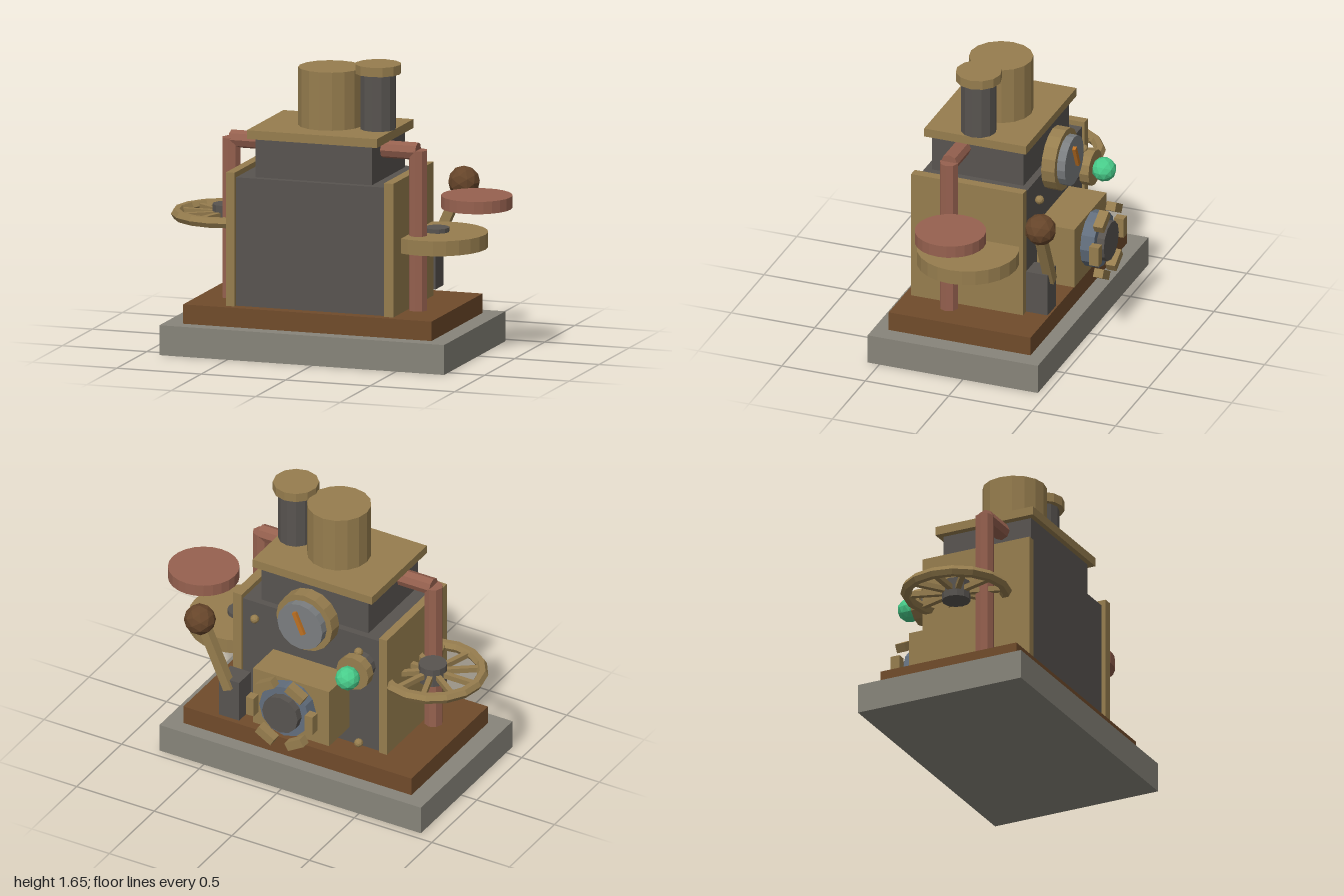
import * as THREE from 'three';

const mat = (name, color) => {
  const m = new THREE.MeshStandardMaterial({ color, flatShading: true });
  m.name = name;
  return m;
};

export function createModel() {
  const group = new THREE.Group();
  group.name = 'steamMachine';

  const stone = mat('stone grey', 0x87847a);
  const wood = mat('dark wood', 0x704b2b);
  const iron = mat('dark iron', 0x585450);
  const brass = mat('brass', 0x967d4e);
  const copper = mat('copper', 0x96614f);
  const steel = mat('blue steel', 0x626e7d);
  const dial = mat('dial grey', 0x7b7e80);
  const orange = mat('needle orange', 0xbd7022);
  const green = mat('lamp green', 0x48cc8a);
  const knobBrown = mat('knob brown', 0x66452a);

  const add = (name, geometry, material, x, y, z, parent = group) => {
    const mesh = new THREE.Mesh(geometry, material);
    mesh.name = name;
    mesh.position.set(x, y, z);
    parent.add(mesh);
    return mesh;
  };
  // Box given by its minimum and maximum on each axis
  const box = (name, material, [x0, x1], [y0, y1], [z0, z1]) =>
    add(name, new THREE.BoxGeometry(x1 - x0, y1 - y0, z1 - z0), material,
      (x0 + x1) / 2, (y0 + y1) / 2, (z0 + z1) / 2);
  // Upright cylinder between two heights
  const post = (name, material, r, sides, x, z, y0, y1) =>
    add(name, new THREE.CylinderGeometry(r, r, y1 - y0, sides), material, x, (y0 + y1) / 2, z);
  // Cylinder lying along z
  const drum = (name, material, r, sides, x, y, z0, z1) =>
    add(name, new THREE.CylinderGeometry(r, r, z1 - z0, sides).rotateX(Math.PI / 2),
      material, x, y, (z0 + z1) / 2);
  const ball = (name, material, r, x, y, z) =>
    add(name, new THREE.IcosahedronGeometry(r, 1), material, x, y, z);

  // Plinth and housing
  box('plinth', stone, [-0.9, 0.785], [0, 0.17], [-0.45, 0.57]);
  box('woodBase', wood, [-0.79, 0.68], [0.17, 0.28], [-0.365, 0.485]);
  box('body', iron, [-0.5, 0.385], [0.28, 1.01], [-0.21, 0.42]);
  box('rightPanel', brass, [-0.55, -0.5], [0.28, 1.04], [-0.225, 0.445]);
  box('leftPanel', brass, [0.385, 0.44], [0.28, 1.04], [-0.225, 0.445]);
  box('upperBody', iron, [-0.4, 0.29], [1.01, 1.23], [-0.17, 0.38]);
  box('topPlate', brass, [-0.44, 0.33], [1.23, 1.28], [-0.2, 0.41]);

  // Boiler dome and chimney
  post('boiler', brass, 0.18, 16, -0.055, 0.1, 1.28, 1.61);
  post('chimney', iron, 0.1, 12, 0.235, 0.12, 1.28, 1.6);
  post('chimneyCap', brass, 0.13, 12, 0.235, 0.12, 1.597, 1.65);

  // Copper pipes, one each side
  for (const side of [-1, 1]) {
    const x = -0.055 + side * 0.553;
    post('uprightPipe', copper, 0.053, 8, x, 0.195, 0.28, 1.19);
    const pipe = add('crossPipe', new THREE.CylinderGeometry(0.05, 0.05, 0.21, 8), copper,
      x - side * 0.105, 1.183, 0.195);
    pipe.rotation.z = Math.PI / 2;
  }

  // Spoked hand wheel
  const wheel = new THREE.Group();
  wheel.name = 'handWheel';
  wheel.position.set(-0.685, 0.725, 0.055);
  group.add(wheel);
  add('rim', new THREE.TorusGeometry(0.28, 0.032, 6, 16).rotateX(Math.PI / 2), brass, 0, 0, 0, wheel);
  add('hub', new THREE.CylinderGeometry(0.08, 0.08, 0.11, 12), iron, 0, 0, 0, wheel);
  for (let i = 0; i < 10; i++) {
    const a = (i / 10) * Math.PI * 2;
    const spoke = add('spoke', new THREE.BoxGeometry(0.22, 0.03, 0.03), brass,
      Math.cos(a) * 0.165, 0, Math.sin(a) * 0.165, wheel);
    spoke.rotation.y = -a;
  }

  // Flat wheels on the left side
  post('brassDisc', brass, 0.287, 24, 0.56, 0.057, 0.62, 0.705);
  post('brassDiscHub', iron, 0.07, 12, 0.56, 0.057, 0.6, 0.73);
  post('copperDisc', copper, 0.2, 24, 0.8, 0.068, 0.86, 0.93);

  // Gearbox with valve wheel on the back
  const cx = -0.055, vy = 0.572;
  box('gearbox', brass, [-0.3, 0.19], [0.375, 0.735], [-0.435, -0.21]);
  drum('valveDrum', steel, 0.16, 12, cx, vy, -0.515, -0.435);
  drum('valveFace', iron, 0.115, 12, cx, vy, -0.56, -0.515);
  for (let i = 0; i < 6; i++) {
    const a = (i / 6) * Math.PI * 2;
    const lug = add('valveLug', new THREE.BoxGeometry(0.05, 0.115, 0.057), brass,
      cx + Math.cos(a) * 0.19, vy + Math.sin(a) * 0.19, -0.54);
    lug.rotation.z = a;
  }

  // Pressure gauge
  drum('gaugeRing', brass, 0.18, 16, cx, 1.035, -0.29, -0.21);
  drum('gaugeFace', dial, 0.145, 16, cx, 1.035, -0.338, -0.29);
  const needle = add('gaugeNeedle', new THREE.BoxGeometry(0.025, 0.14, 0.02), orange, cx, 1.065, -0.35);
  needle.rotation.z = -0.42;

  // Signal lamp
  drum('lampStem', iron, 0.08, 12, -0.39, 0.83, -0.275, -0.21);
  drum('lampRing', brass, 0.104, 12, -0.39, 0.83, -0.332, -0.275);
  ball('lamp', green, 0.07, -0.39, 0.83, -0.385);

  // Lever with knob
  box('leverBox', iron, [0.315, 0.445], [0.31, 0.56], [-0.375, -0.245]);
  const foot = new THREE.Vector2(0.38, 0.5), tip = new THREE.Vector2(0.56, 0.9);
  const lever = add('leverArm', new THREE.BoxGeometry(0.055, foot.distanceTo(tip), 0.055), brass,
    (foot.x + tip.x) / 2, (foot.y + tip.y) / 2, -0.368);
  lever.rotation.z = -Math.atan2(tip.x - foot.x, tip.y - foot.y);
  ball('leverKnob', knobBrown, 0.09, 0.565, 0.907, -0.38);

  // Corner rivets
  for (const x of [-0.39, 0.28]) {
    for (const y of [0.33, 0.935]) ball('rivet', brass, 0.026, x, y, -0.262);
  }

  return group;
}
